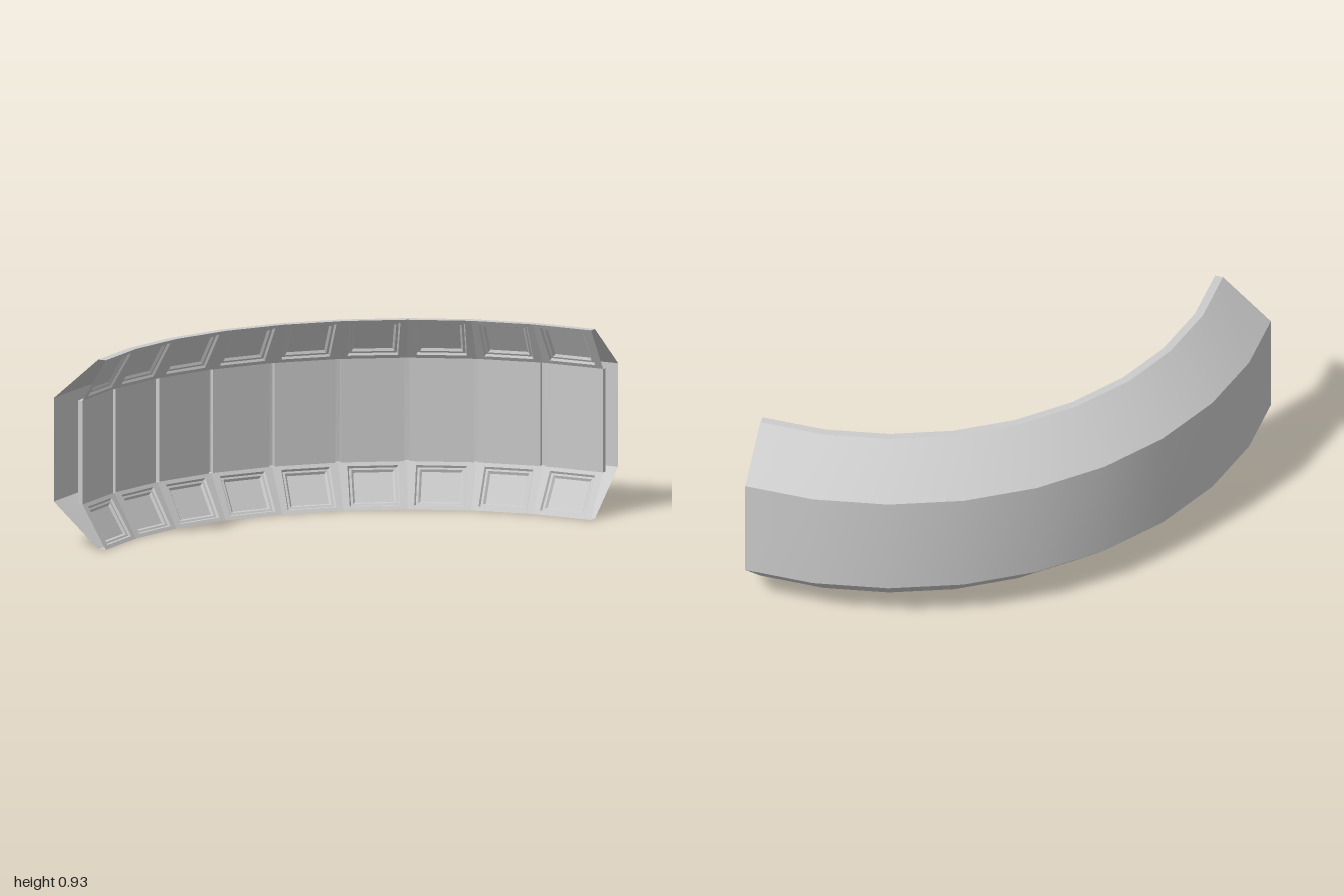
import * as THREE from 'three';
import { toCreasedNormals } from 'three/addons/utils/BufferGeometryUtils.js';

const SEGMENTS = 9, STEP = Math.PI / 16, TAN = Math.tan(STEP / 2);
const CENTRE = 0.84;          // bend centre in x and z
const END = 1 - CENTRE;       // straight run to the square-cut ends
const HEIGHT = 0.925, LOW = 0.21, HIGH = 0.715;
const RIM_IN = 1.56, RIM_OUT = 1.6, WALL_OUT = 1.84, BASE = 1.71, PANEL = 1.685;

const material = new THREE.MeshStandardMaterial({ color: 0xcccccc, side: THREE.DoubleSide });

// Point in segment k: u along the segment, r away from the bend centre, y up
function point(k, u, r, y) {
  const c = Math.cos(k * STEP), s = Math.sin(k * STEP);
  return [CENTRE - r * s + u * c, y, CENTRE - r * c - u * s];
}
const lo = (k, r) => (k === SEGMENTS - 1 ? -END : -r * TAN);
const hi = (k, r) => (k === 0 ? END : r * TAN);

function quad(out, a, b, c, d) {
  out.push(...a, ...b, ...c, ...a, ...c, ...d);
}

function makeMesh(name, positions) {
  const geometry = new THREE.BufferGeometry();
  geometry.setAttribute('position', new THREE.Float32BufferAttribute(positions, 3));
  const mesh = new THREE.Mesh(toCreasedNormals(geometry, 0.3), material);
  mesh.name = name;
  return mesh;
}

// Sweep a [radius, height] profile along all segments, mitred at the bends
function sweep(name, profile) {
  const out = [];
  for (let k = 0; k < SEGMENTS; k++) {
    for (let i = 0; i + 1 < profile.length; i++) {
      const [r0, y0] = profile[i], [r1, y1] = profile[i + 1];
      quad(out, point(k, lo(k, r0), r0, y0), point(k, hi(k, r0), r0, y0),
        point(k, hi(k, r1), r1, y1), point(k, lo(k, r1), r1, y1));
    }
  }
  return makeMesh(name, out);
}

// Sloped inner face of one segment with a stepped rectangular recess
function coffer(name, k, [r0, y0], [r1, y1]) {
  const dr = r1 - r0, dy = y1 - y0, length = Math.hypot(dr, dy);
  const at = (u, s, depth) =>
    point(k, u, r0 + dr * s + depth * dy / length, y0 + dy * s - depth * dr / length);
  const rings = [[
    at(lo(k, r0), 0, 0), at(hi(k, r0), 0, 0), at(hi(k, r1), 1, 0), at(lo(k, r1), 1, 0),
  ]];
  // half width, inset along the slope, depth
  for (const [w, s, depth] of [[0.122, 0.08, 0], [0.115, 0.11, 0.01], [0.104, 0.15, 0.01], [0.094, 0.19, 0.02]]) {
    rings.push([at(-w, s, depth), at(w, s, depth), at(w, 1 - s, depth), at(-w, 1 - s, depth)]);
  }
  const out = [];
  for (let i = 0; i + 1 < rings.length; i++) {
    for (let j = 0; j < 4; j++) {
      const n = (j + 1) % 4;
      quad(out, rings[i][j], rings[i][n], rings[i + 1][n], rings[i + 1][j]);
    }
  }
  quad(out, ...rings[rings.length - 1]);
  return makeMesh(name, out);
}

// Raised wall panel with a narrow groove left at each bend
function wallPanel(k) {
  const gap = 0.012;
  const a = lo(k, PANEL) + (k === SEGMENTS - 1 ? 0 : gap);
  const b = hi(k, PANEL) - (k === 0 ? 0 : gap);
  const out = [];
  for (const [u0, ra, u1, rb] of [[a, BASE, a, PANEL], [a, PANEL, b, PANEL], [b, PANEL, b, BASE]]) {
    quad(out, point(k, u0, ra, LOW), point(k, u1, rb, LOW), point(k, u1, rb, HIGH), point(k, u0, ra, HIGH));
  }
  return makeMesh('wallPanel', out);
}

export function createModel() {
  const model = new THREE.Group();
  model.name = 'curvedCorridorWall';

  // Outer skin and the two flat rims
  model.add(sweep('outerSkin', [
    [RIM_OUT, HEIGHT], [WALL_OUT, HIGH], [WALL_OUT, LOW], [RIM_OUT, 0],
  ]));
  model.add(sweep('bottomRim', [[RIM_OUT, 0], [RIM_IN, 0]]));
  model.add(sweep('topRim', [[RIM_IN, HEIGHT], [RIM_OUT, HEIGHT]]));

  // Backing behind the wall panels, seen in the grooves
  model.add(sweep('wallBacking', [[PANEL, LOW], [BASE, LOW], [BASE, HIGH], [PANEL, HIGH]]));

  // Inner lining, segment by segment
  for (let k = 0; k < SEGMENTS; k++) {
    model.add(coffer('lowerCoffer', k, [RIM_IN, 0], [PANEL, LOW]));
    model.add(wallPanel(k));
    model.add(coffer('upperCoffer', k, [PANEL, HIGH], [RIM_IN, HEIGHT]));
  }
  return model;
}
